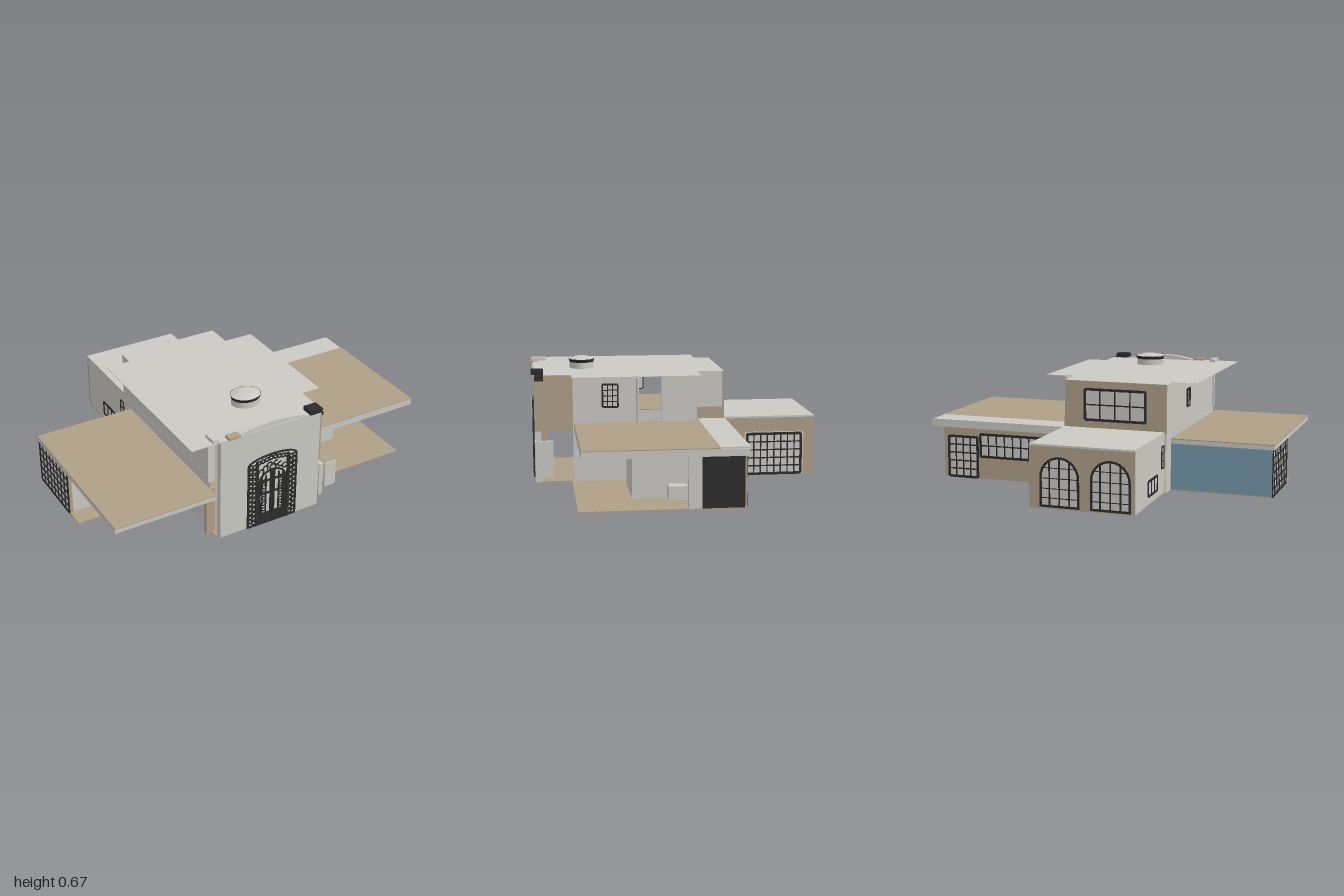
import * as THREE from 'three';

const make = (name, color) => {
  const m = new THREE.MeshStandardMaterial({ color });
  m.name = name;
  return m;
};

export function createModel() {
  const house = new THREE.Group();
  house.name = 'house';
  const plaster = make('light plaster', 0xcac9c3);
  const tan = make('tan stucco', 0xaf9f88);
  const black = make('black iron', 0x2c2c2c);
  const blue = make('blue wall', 0x7799ad);

  const add = (parent, name, geo, mat) => {
    const mesh = new THREE.Mesh(geo, mat);
    mesh.name = name;
    parent.add(mesh);
    return mesh;
  };
  // Box given by its limits on each axis
  const box = (name, mat, x0, x1, y0, y1, z0, z1, parent = house) => {
    const m = add(parent, name, new THREE.BoxGeometry(x1 - x0, y1 - y0, z1 - z0), mat);
    m.position.set((x0 + x1) / 2, (y0 + y1) / 2, (z0 + z1) / 2);
    return m;
  };
  // Horizontal plate from an outline of [x, z] points
  const plate = (name, mat, pts, y0, y1) => {
    const shape = new THREE.Shape(pts.map(([x, z]) => new THREE.Vector2(x, -z)));
    const geo = new THREE.ExtrudeGeometry(shape, { depth: y1 - y0, bevelEnabled: false });
    geo.rotateX(-Math.PI / 2);
    return add(house, name, geo.translate(0, y0, 0), mat);
  };
  // Gridded window standing on its sill, facing +z before turning
  const gridWindow = (name, w, h, cols, rows, x, y, z, turn, bar = 0.008) => {
    const g = new THREE.Group();
    g.name = name;
    box('pane', plaster, -w / 2, w / 2, 0, h, 0, 0.002, g);
    for (let i = 0; i <= cols; i++) {
      const c = -w / 2 + (w * i) / cols;
      const b = i % cols ? bar / 2 : bar;
      box('upright', black, c - b / 2, c + b / 2, 0, h, 0.001, 0.006, g);
    }
    for (let j = 0; j <= rows; j++) {
      const c = (h * j) / rows;
      const b = j % rows ? bar / 2 : bar;
      box('crossbar', black, -w / 2, w / 2, c - b / 2, c + b / 2, 0.001, 0.006, g);
    }
    g.position.set(x, y, z);
    g.rotation.y = turn;
    house.add(g);
    return g;
  };
  const archShape = (w, h, rise) => {
    const s = new THREE.Shape();
    s.moveTo(-w / 2, 0).lineTo(w / 2, 0).lineTo(w / 2, h - rise);
    for (let i = 1; i <= 16; i++) {
      const a = (Math.PI * i) / 16;
      s.lineTo((w / 2) * Math.cos(a), h - rise + rise * Math.sin(a));
    }
    return s;
  };
  const archFrame = (w, h, rise, t) => {
    const s = archShape(w, h, rise);
    const hole = archShape(w - 2 * t, h - 2 * t, rise - t);
    s.holes.push(new THREE.Path(hole.getPoints().map((p) => new THREE.Vector2(p.x, p.y + t))));
    return new THREE.ExtrudeGeometry(s, { depth: 0.006, bevelEnabled: false });
  };
  const EAST = Math.PI / 2, WEST = -Math.PI / 2, BACK = Math.PI;

  // Floors
  plate('floor', tan, [[-0.41, 0.75], [0.22, 0.75], [0.22, 0.58], [0.92, 0.58], [0.92, -0.28], [0.17, -0.28],
    [0.17, -0.8], [-0.41, -0.8], [-0.41, -0.19], [-0.99, -0.19], [-0.99, 0.3], [-0.41, 0.3]], 0, 0.006);

  // Back wing
  box('backWingRoof', plaster, -0.41, 0.17, 0.33, 0.34, -0.8, -0.28);
  box('backWingRearWall', tan, -0.41, 0.17, 0, 0.33, -0.8, -0.785);
  box('backWingLeftWall', tan, 0.155, 0.17, 0, 0.33, -0.785, -0.28);
  box('backWingRightWall', plaster, -0.41, -0.395, 0, 0.33, -0.785, -0.28);
  box('windowSurround', plaster, 0.17, 0.172, 0, 0.25, -0.74, -0.4);
  gridWindow('backWingWindow', 0.31, 0.23, 8, 5, 0.172, 0.008, -0.57, EAST, 0.014);
  gridWindow('lowWindow', 0.16, 0.08, 3, 1, -0.41, 0.05, -0.5, WEST, 0.012);
  gridWindow('slitWindow', 0.04, 0.12, 1, 3, -0.41, 0.15, -0.32, WEST);
  for (const x of [0, -0.28]) {
    const g = new THREE.Group();
    g.name = 'archedWindow';
    add(g, 'pane', new THREE.ExtrudeGeometry(archShape(0.22, 0.27, 0.11), { depth: 0.002, bevelEnabled: false }), plaster);
    add(g, 'frame', archFrame(0.22, 0.27, 0.11, 0.012), black);
    for (let i = -1; i <= 1; i++) box('upright', black, i * 0.055 - 0.004, i * 0.055 + 0.004, 0, i ? 0.245 : 0.265, 0.001, 0.007, g);
    for (const y of [0.05, 0.1, 0.155, 0.21]) box('crossbar', black, -0.1, 0.1, y - 0.002, y + 0.002, 0.001, 0.006, g);
    g.position.set(x, 0.008, -0.8);
    g.rotation.y = BACK;
    house.add(g);
  }

  // Left wing: slab roof, rear wall, glazing and open patio
  box('leftWingSlab', plaster, 0.17, 1, 0.29, 0.328, -0.28, 0.565);
  box('leftWingRoof', tan, 0.2, 1, 0.328, 0.333, -0.13, 0.565);
  box('leftWingRoofBand', plaster, 0.17, 0.99, 0.328, 0.335, -0.285, -0.13);
  box('leftWingRearWall', tan, 0.17, 0.92, 0, 0.29, -0.28, -0.27);
  box('leftWingInnerWall', plaster, 0.17, 0.92, 0.006, 0.29, -0.27, -0.262);
  gridWindow('rearDoorWindow', 0.18, 0.235, 4, 5, 0.8, 0.005, -0.28, BACK, 0.014);
  gridWindow('rearStripWindow', 0.4, 0.13, 8, 2, 0.49, 0.13, -0.28, BACK, 0.014);
  gridWindow('innerWindow', 0.09, 0.225, 3, 5, 0.835, 0.008, -0.262, 0, 0.012);
  box('sidePanel', black, 0.905, 0.922, 0.006, 0.285, -0.27, -0.05);
  box('sidePost', plaster, 0.9, 0.922, 0.006, 0.29, -0.05, 0.02);
  box('roomFrontWall', plaster, 0.34, 0.67, 0.006, 0.28, 0.27, 0.285);
  box('roomSideWall', plaster, 0.655, 0.67, 0.006, 0.28, -0.26, 0.27);
  box('lowPlanter', plaster, 0.67, 0.735, 0.006, 0.08, 0.0, 0.1);
  box('roomTanWall', tan, 0.23, 0.34, 0.006, 0.28, 0.2, 0.21);

  // Right wing: broad roof, blue rear wall and end glazing
  box('rightWingSlab', plaster, -1, -0.42, 0.262, 0.286, -0.19, 0.79);
  box('rightWingRoof', tan, -1, -0.42, 0.286, 0.291, -0.19, 0.79);
  box('rightWingBlueWall', blue, -0.99, -0.42, 0, 0.262, -0.19, -0.18);
  box('rightWingFrontWall', plaster, -0.97, -0.44, 0.006, 0.262, 0.18, 0.19);
  box('rightWingCorner', tan, -0.99, -0.97, 0.006, 0.262, 0.17, 0.19);
  gridWindow('rightWingWindow', 0.37, 0.255, 8, 6, -0.988, 0.005, 0.0, WEST, 0.014);

  // Tower walls
  box('towerRearWall', tan, -0.42, 0.17, 0.33, 0.6, -0.28, -0.27);
  gridWindow('towerRearWindow', 0.35, 0.17, 4, 2, -0.125, 0.385, -0.28, BACK, 0.014);
  box('towerRearSide', plaster, 0.16, 0.17, 0.33, 0.6, -0.27, -0.12);
  box('towerRearPatch', tan, 0.17, 0.174, 0.33, 0.4, -0.28, -0.12);
  box('towerSideBack', plaster, 0.22, 0.23, 0, 0.6, -0.12, 0.08);
  box('towerSideFront', plaster, 0.22, 0.23, 0, 0.6, 0.22, 0.57);
  box('towerFin', plaster, 0.23, 0.3, 0.33, 0.585, 0.21, 0.22);
  box('towerSideTan', tan, 0.215, 0.225, 0.29, 0.6, 0.57, 0.78);
  const side = add(house, 'towerRightWall', new THREE.PlaneGeometry(1.0, 0.6), plaster);
  side.rotation.y = WEST;
  side.position.set(-0.42, 0.3, 0.22);
  box('frontTanReturn', tan, -0.44, -0.39, 0, 0.285, 0.7, 0.72);
  box('frontUpperReturn', plaster, -0.43, -0.39, 0.33, 0.6, 0.7, 0.72);
  box('entrySideBox', plaster, 0.24, 0.265, 0.04, 0.24, 0.68, 0.76);
  box('entrySidePanel', plaster, 0.265, 0.335, 0.1, 0.25, 0.772, 0.78);
  gridWindow('towerSideWindow', 0.085, 0.125, 3, 4, 0.23, 0.42, 0.365, EAST, 0.01);
  gridWindow('towerSmallWindow', 0.06, 0.1, 2, 3, -0.42, 0.42, 0.15, WEST, 0.01);

  // Tower roof and trim
  plate('towerRoof', plaster, [[-0.56, 0.785], [0.23, 0.785], [0.23, 0.58], [0.34, 0.58], [0.34, -0.13], [0.17, -0.13],
    [0.17, -0.28], [-0.42, -0.28], [-0.42, -0.19], [-0.56, -0.19]], 0.6, 0.602);
  box('roofTrimTan', tan, -0.35, -0.28, 0.602, 0.615, 0.75, 0.795);
  box('roofTrimBlack', black, 0.14, 0.215, 0.603, 0.628, 0.73, 0.797);
  box('roofTrimBlackSide', black, 0.2, 0.233, 0.57, 0.603, 0.73, 0.779);
  box('cornerTrim', plaster, -0.435, -0.4, 0.602, 0.62, 0.7, 0.78);

  // Round skylight, slightly shallower than wide
  const skylight = new THREE.Group();
  skylight.name = 'skylight';
  skylight.position.set(-0.08, 0.6, 0.505);
  skylight.scale.z = 0.85;
  house.add(skylight);
  const disc = (name, mat, r0, r1, y, h) => {
    add(skylight, name, new THREE.CylinderGeometry(r1, r0, h, 32), mat).position.y = y + h / 2;
  };
  disc('curb', plaster, 0.08, 0.08, 0, 0.036);
  disc('rim', black, 0.08, 0.086, 0.036, 0.018);
  disc('cap', plaster, 0.084, 0.04, 0.054, 0.012);

  // Entrance facade with a gently raised top
  const face = new THREE.Shape();
  face.moveTo(-0.39, 0).lineTo(0.22, 0).lineTo(0.22, 0.6).lineTo(0.12, 0.605);
  face.quadraticCurveTo(-0.08, 0.655, -0.28, 0.605).lineTo(-0.39, 0.6);
  add(house, 'entranceFacade', new THREE.ExtrudeGeometry(face, { depth: 0.035, bevelEnabled: false }), plaster)
    .position.z = 0.745;

  // Wrought iron entrance
  const door = new THREE.Group();
  door.name = 'entranceDoor';
  door.position.set(-0.077, 0, 0.781);
  house.add(door);
  const ring = (x, y, r, t = 0.005, arc = Math.PI * 2, turn = 0) => {
    const m = add(door, 'scroll', new THREE.RingGeometry(r - t, r + t, 14, 1, turn, arc), black);
    m.position.set(x, y, 0.006);
  };
  add(door, 'outerFrame', archFrame(0.305, 0.438, 0.045, 0.01), black);
  add(door, 'doorArch', archFrame(0.17, 0.34, 0.07, 0.01), black);
  for (const s of [-1, 1]) {
    const bar = (x, w, y1) => box('upright', black, s * x - w / 2, s * x + w / 2, 0, y1, 0, 0.008, door);
    bar(0.095, 0.014, 0.41);
    bar(0.008, 0.012, 0.335);
    bar(0.04, 0.006, 0.31);
    bar(0.066, 0.008, 0.3);
    box('kickPanel', black, s * 0.045 - 0.035, s * 0.045 + 0.035, 0.01, 0.07, 0, 0.007, door);
    // Scrolled side panels
    for (let i = 0; i < 13; i++) {
      ring(s * 0.113, 0.025 + i * 0.03, 0.011);
      ring(s * 0.134, 0.04 + i * 0.029, 0.011);
    }
    for (let i = 0; i < 6; i++) ring(s * 0.052, 0.095 + i * 0.036, 0.011, 0.004);
    // Overhead scrolls
    for (let i = 0; i < 4; i++) ring(s * (0.014 + i * 0.024), 0.412 - i * 0.004, 0.011);
    for (let i = 0; i < 3; i++) ring(s * (0.02 + i * 0.026), 0.372 - i * 0.016, 0.014, 0.005, Math.PI * 1.5, s);
  }
  ring(0, 0.352, 0.018);
  box('doorRail', black, -0.08, 0.08, 0.19, 0.2, 0, 0.008, door);
  box('doorHead', black, -0.08, 0.08, 0.27, 0.28, 0, 0.008, door);
  return house;
}
